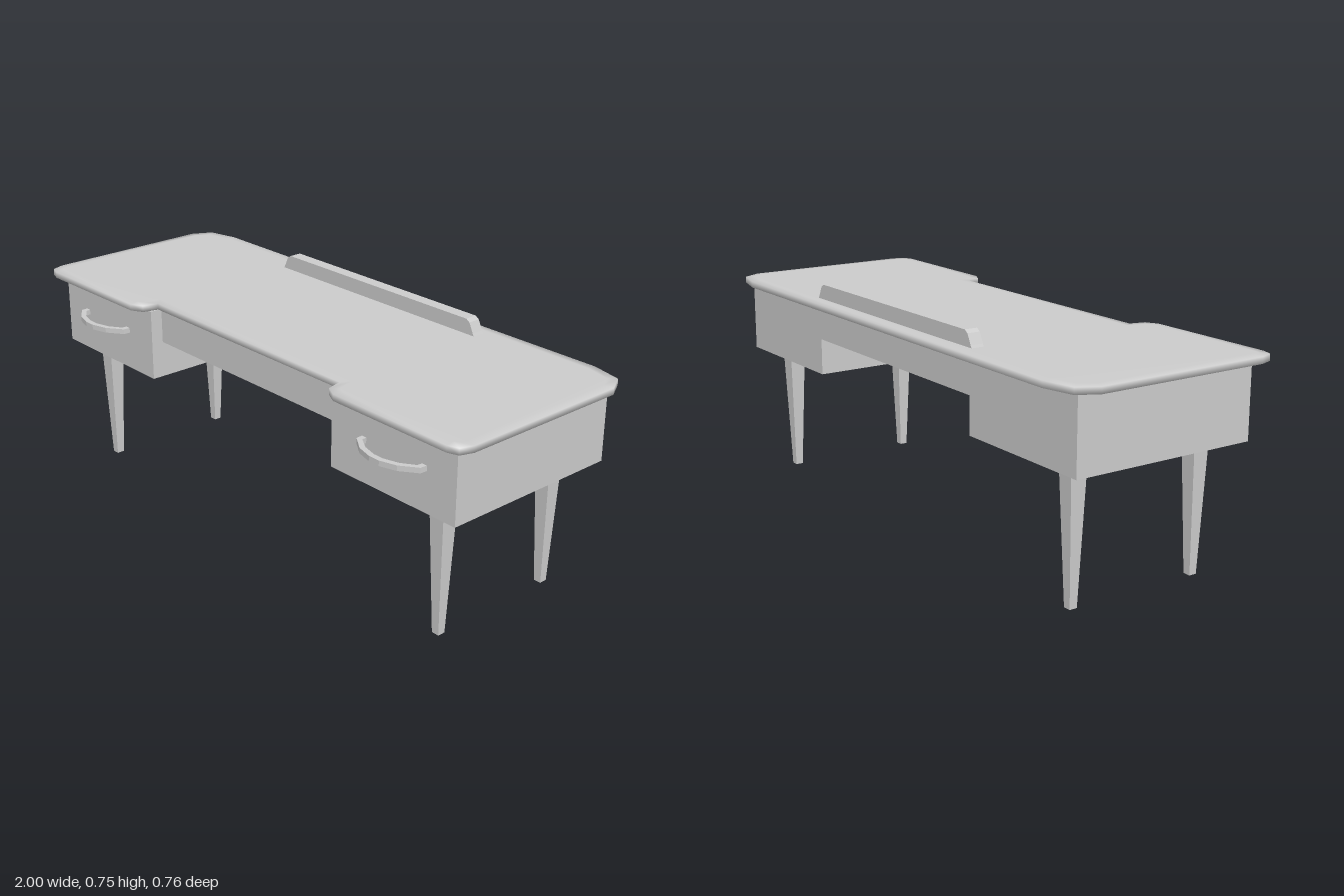
import * as THREE from 'three';
import { mergeVertices } from 'three/addons/utils/BufferGeometryUtils.js';

const material = new THREE.MeshStandardMaterial({ color: 0xcccccc });

const shapeOf = (points) => new THREE.Shape(points.map(([x, y]) => new THREE.Vector2(x, y)));

const rectangle = (x0, x1, z0, z1) => [[x0, z0], [x1, z0], [x1, z1], [x0, z1]];

// Extrudes an (x, z) plan downward from the height "top"
function plate(shape, top, height, bevel = {}) {
  const geometry = new THREE.ExtrudeGeometry(shape, { depth: height, bevelEnabled: false, ...bevel });
  geometry.rotateX(Math.PI / 2);
  return geometry.translate(0, top, 0);
}

function addMesh(parent, name, geometry) {
  const mesh = new THREE.Mesh(geometry, material);
  mesh.name = name;
  parent.add(mesh);
  return mesh;
}

// Thin-walled case, open below, with a recessed underside panel
function makeCase(name, x0, x1, z0, z1, bottom, top) {
  const group = new THREE.Group();
  group.name = name;
  const wall = 0.004, recess = 0.05;
  const walls = shapeOf(rectangle(x0, x1, z0, z1));
  const inner = rectangle(x0 + wall, x1 - wall, z0 + wall, z1 - wall);
  walls.holes.push(shapeOf(inner));
  addMesh(group, name + 'Walls', plate(walls, top, top - bottom));
  addMesh(group, name + 'Underside', plate(shapeOf(inner), bottom + recess + 0.01, 0.01));
  return group;
}

// Tabletop with clipped corners, a knee notch in front and softly shaded edges
function tabletopGeometry() {
  const half = [
    [0.447, 0.273], [0.46, 0.325], [0.5, 0.346], [0.95, 0.35], [0.985, 0.338], [1, 0.295],
    [1, -0.29], [0.965, -0.355], [0.86, -0.38],
  ];
  const mirrored = half.map(([x, z]) => [-x, z]).reverse();
  const inset = 0.03, rise = 0.002;
  const geometry = plate(shapeOf([...half, ...mirrored]), 0.697 - rise, 0.025 - 2 * rise, {
    bevelEnabled: true, bevelSegments: 1, bevelSize: inset, bevelOffset: -inset, bevelThickness: rise,
  });
  geometry.deleteAttribute('uv');
  geometry.deleteAttribute('normal');
  const smooth = mergeVertices(geometry, 1e-4);
  smooth.computeVertexNormals();
  return smooth;
}

// Bowed drawer pull, centred on x = 0
function handleGeometry() {
  const outer = [[0.13, 0.3], [0.128, 0.326], [0.075, 0.364], [0.02, 0.38]];
  const inner = [[0.018, 0.362], [0.068, 0.348], [0.11, 0.32], [0.112, 0.3]];
  const flip = (points) => points.map(([x, z]) => [-x, z]).reverse();
  return plate(shapeOf([...outer, ...flip(outer), ...flip(inner), ...inner]), 0.579, 0.017);
}

// Square tapered leg
function legGeometry() {
  const height = 0.482;
  const geometry = new THREE.CylinderGeometry(0.06 / Math.SQRT2, 0.026 / Math.SQRT2, height, 4).toNonIndexed();
  geometry.computeVertexNormals();
  return geometry.rotateY(Math.PI / 4).translate(0, height / 2, 0);
}

export function createModel() {
  const desk = new THREE.Group();
  desk.name = 'desk';

  addMesh(desk, 'tabletop', tabletopGeometry());

  // Raised ridge along the back of the top
  const ridge = shapeOf([
    [-0.46, 0.69], [0.46, 0.69], [0.452, 0.705], [0.436, 0.738], [0.422, 0.747],
    [-0.422, 0.747], [-0.436, 0.738], [-0.452, 0.705],
  ]);
  const ridgeGeometry = new THREE.ExtrudeGeometry(ridge, { depth: 0.043, bevelEnabled: false });
  addMesh(desk, 'backRidge', ridgeGeometry.translate(0, 0, -0.33));

  // Shallow centre case between the two pedestals
  desk.add(makeCase('centreCase', -0.447, 0.447, -0.33, 0.26, 0.555, 0.673));

  const handle = handleGeometry();
  const leg = legGeometry();
  for (const [side, sign] of [['left', 1], ['right', -1]]) {
    const xs = [sign * 0.447, sign * 0.95];
    desk.add(makeCase(side + 'Pedestal', Math.min(...xs), Math.max(...xs), -0.33, 0.303, 0.432, 0.673));
    addMesh(desk, side + 'DrawerHandle', handle).position.x = sign * 0.707;
    addMesh(desk, side + 'FrontLeg', leg).position.set(sign * 0.823, 0, 0.215);
    addMesh(desk, side + 'BackLeg', leg).position.set(sign * 0.823, 0, -0.241);
  }
  return desk;
}
